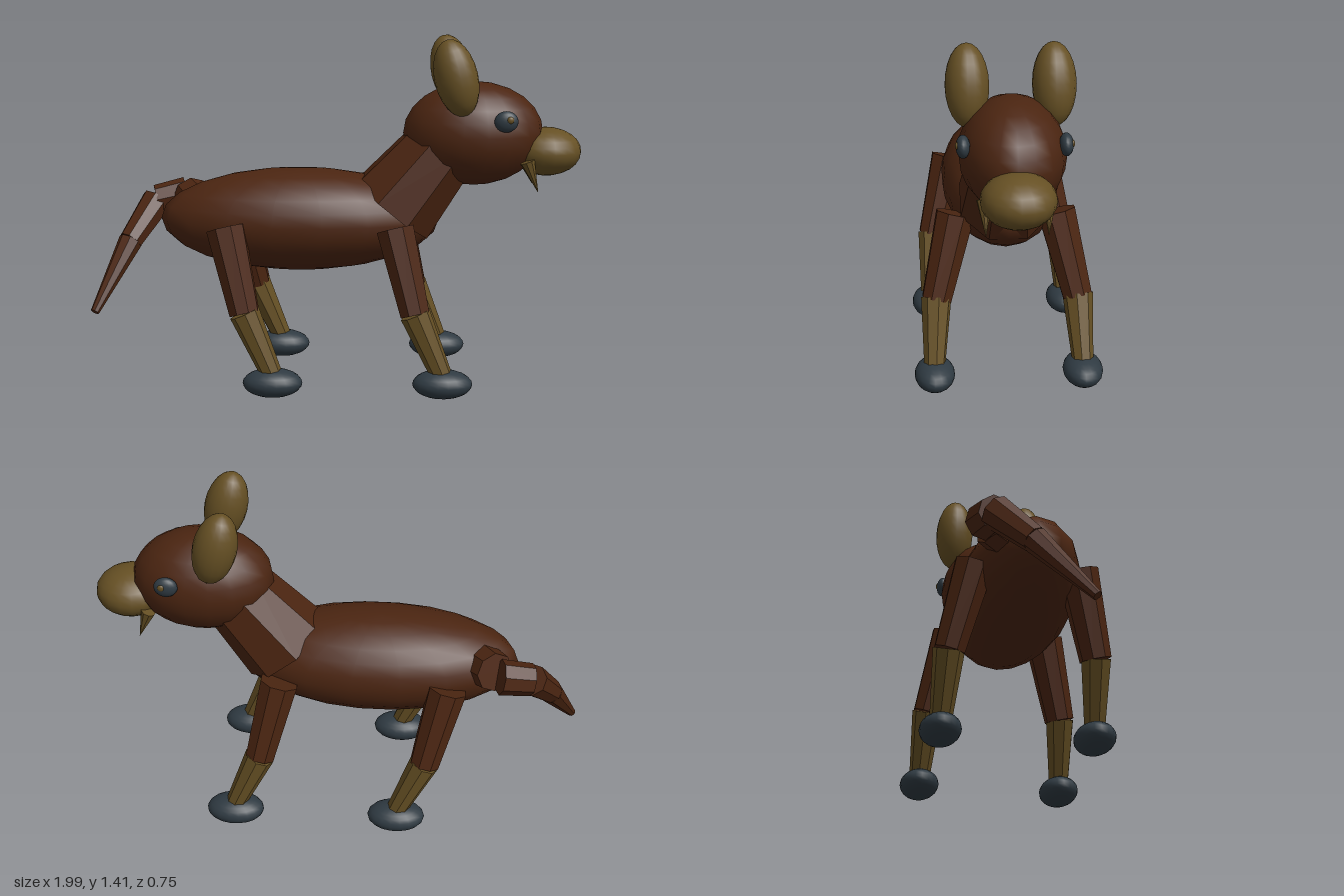
import * as THREE from 'three';

export function createModel() {
  const model = new THREE.Group();
  model.name = 'animal';

  const mat = (name, color, flatShading = false) => {
    const m = new THREE.MeshStandardMaterial({ color, flatShading });
    m.name = name;
    return m;
  };
  const fur = mat('brownFur', 0x4b2511);
  const tan = mat('tanFur', 0x665024);
  const slate = mat('slate', 0x2f3a42);

  const add = (name, geometry, material) => {
    const mesh = new THREE.Mesh(geometry, material);
    mesh.name = name;
    model.add(mesh);
    return mesh;
  };

  // Smooth ellipsoid with given centre and radii
  const blob = (name, c, r, material, tilt = 0) => {
    const mesh = add(name, new THREE.SphereGeometry(1, 18, 12), material);
    mesh.position.set(...c);
    mesh.scale.set(...r);
    mesh.rotation.z = tilt;
    return mesh;
  };

  // Faceted tapered limb running between two points
  const limb = (name, a, b, ra, rb, material) => {
    const from = new THREE.Vector3(...a), to = new THREE.Vector3(...b);
    const dir = to.clone().sub(from);
    const g = new THREE.CylinderGeometry(rb, ra, dir.length(), 8);
    g.rotateY(Math.PI / 8);
    const faceted = g.toNonIndexed();
    faceted.computeVertexNormals();
    const mesh = add(name, faceted, material);
    mesh.position.copy(from).add(to).multiplyScalar(0.5);
    mesh.quaternion.setFromUnitVectors(new THREE.Vector3(0, 1, 0), dir.normalize());
    return mesh;
  };

  // Trunk, neck and head
  blob('body', [-0.15, 0.67, 0], [0.57, 0.21, 0.243], fur);
  limb('neck', [0.23, 0.715, 0], [0.46, 1.0, 0], 0.195, 0.15, fur);
  blob('head', [0.555, 1.025, 0], [0.283, 0.21, 0.2], fur);
  blob('snout', [0.85, 0.952, 0], [0.143, 0.098, 0.137], tan);

  // Tail as a chain of tapered segments
  const tail = [
    [-0.56, 0.7, -0.06, 0.09],
    [-0.62, 0.735, -0.17, 0.08],
    [-0.64, 0.735, -0.2, 0.072],
    [-0.765, 0.71, -0.175, 0.066],
    [-0.86, 0.56, -0.05, 0.05],
    [-0.98, 0.302, 0.14, 0.018],
  ];
  for (const i of [0, 2, 3, 4]) {
    const p = tail[i], q = tail[i + 1];
    limb('tailSegment', p.slice(0, 3), q.slice(0, 3), p[3], q[3], fur);
  }

  // Mirrored parts
  for (const s of [1, -1]) {
    const side = s > 0 ? 'right' : 'left';
    blob(side + 'Ear', [0.475, 1.26, 0.16 * s], [0.086, 0.155, 0.082], tan, 0.24);
    blob(side + 'Eye', [0.672, 1.092, 0.185 * s], [0.047, 0.042, 0.026], slate);
    blob(side + 'Pupil', [0.686, 1.1, 0.206 * s], [0.014, 0.014, 0.008], tan);
    limb(side + 'Fang', [0.765, 0.925, 0.115 * s], [0.81, 0.802, 0.112 * s], 0.03, 0.001, tan);

    for (const [pair, x] of [['Hind', 0], ['Fore', 0.675]]) {
      const name = side + pair;
      limb(name + 'Thigh', [x - 0.435, 0.665, 0.2 * s], [x - 0.355, 0.335, 0.28 * s], 0.08, 0.062, fur);
      limb(name + 'Shin', [x - 0.355, 0.34, 0.282 * s], [x - 0.247, 0.09, 0.295 * s], 0.061, 0.042, tan);
      blob(name + 'Foot', [x - 0.245, 0.058, 0.295 * s], [0.119, 0.058, 0.08], slate);
    }
  }
  return model;
}
